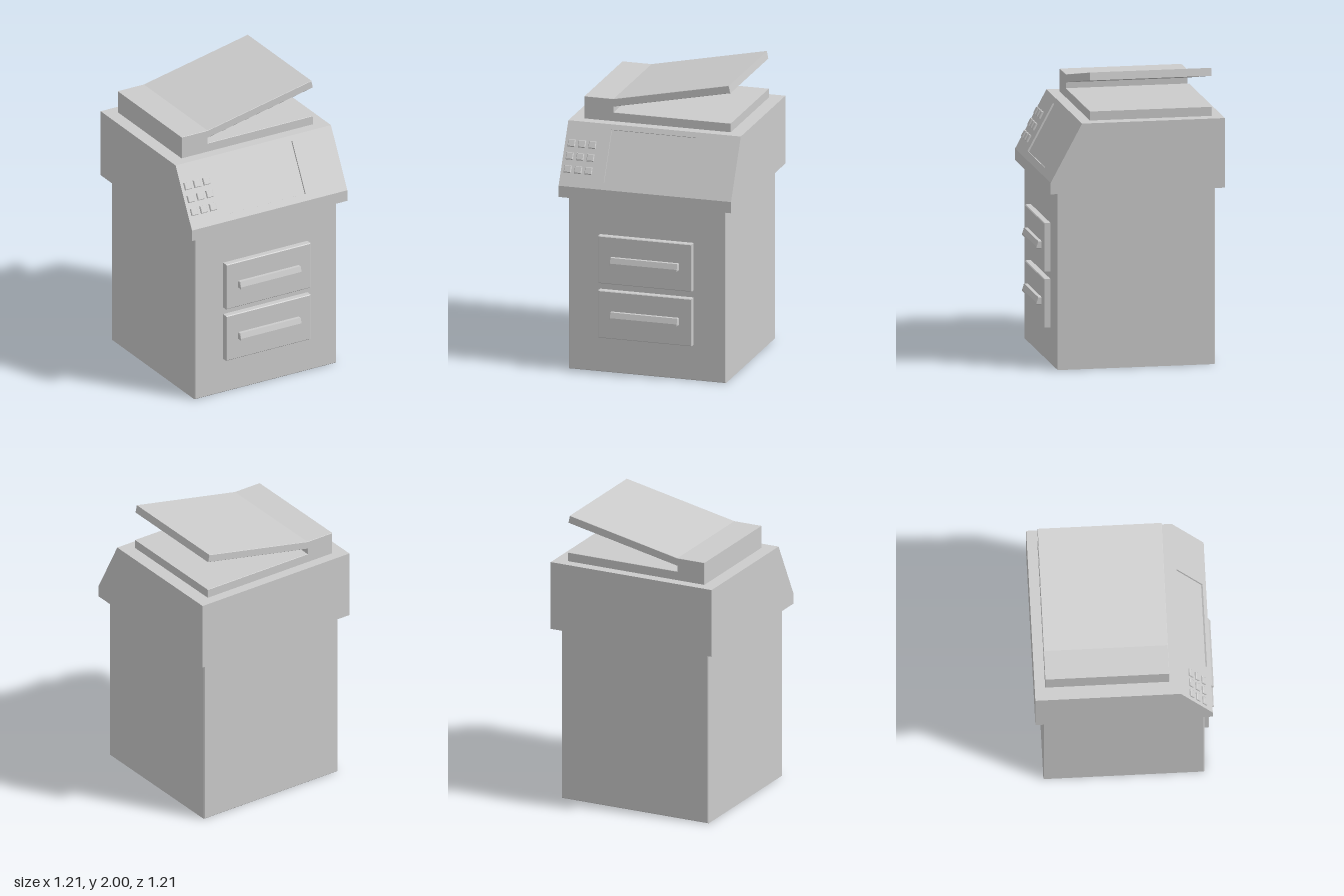
import * as THREE from 'three';

const material = new THREE.MeshStandardMaterial({ color: 0xcccccc, flatShading: true });
const shapeOf = (points) => new THREE.Shape(points.map(([x, y]) => new THREE.Vector2(x, y)));

// Extrude an outline between two depths, with an optional fine chamfer.
function extrude(points, from, to, bevel = 0) {
  return new THREE.ExtrudeGeometry(shapeOf(points), {
    depth: to - from - 2 * bevel,
    bevelEnabled: bevel > 0,
    bevelThickness: bevel,
    bevelSize: bevel,
    bevelOffset: -bevel,
    bevelSegments: 1,
  }).translate(0, 0, from + bevel);
}

// Extrude a (z, y) side profile across x.
const extrudeAcross = (points, x0, x1, bevel = 0) =>
  extrude(points, -x1, -x0, bevel).rotateY(-Math.PI / 2);

// Chamfered block between two corners.
const block = (x0, x1, y0, y1, z0, z1, bevel = 0.005) =>
  extrude([[x0, y0], [x1, y0], [x1, y1], [x0, y1]], z0, z1, bevel);

function add(parent, name, geometry) {
  const mesh = new THREE.Mesh(geometry, material);
  mesh.name = name;
  parent.add(mesh);
  return mesh;
}

export function createModel() {
  const model = new THREE.Group();
  model.name = 'photocopier';

  // Lower cabinet
  add(model, 'cabinet', block(-0.55, 0.55, 0, 1.21, -0.547, 0.527));

  // Two paper drawers, each with a slanted grip
  for (const [y0, y1] of [[0.247, 0.577], [0.627, 0.957]]) {
    const drawer = new THREE.Group();
    drawer.name = 'paperDrawer';
    model.add(drawer);
    add(drawer, 'drawerFront', block(-0.33, 0.325, y0, y1, 0.52, 0.57));
    const y = (y0 + y1) / 2;
    const grip = [[0.565, y - 0.025], [0.605, y - 0.025], [0.605, y - 0.01], [0.593, y + 0.027], [0.565, y + 0.027]];
    add(drawer, 'drawerHandle', extrudeAcross(grip, -0.24, 0.235, 0.004));
  }

  // Control head: sloped front, with the screen recess cut from the middle section
  const head = new THREE.Group();
  head.name = 'controlHead';
  model.add(head);
  const low = [0.58, 1.283], high = [0.367, 1.677];
  const slopeZ = (y) => low[0] + (high[0] - low[0]) * (y - low[1]) / (high[1] - low[1]);
  const tilt = Math.atan2(low[0] - high[0], high[1] - low[1]);
  const onSlope = (y, depth = 0) => [slopeZ(y) - depth * Math.cos(tilt), y - depth * Math.sin(tilt)];
  const headProfile = (recess) =>
    [[-0.603, 1.205], [0.58, 1.205], low, ...recess, high, [-0.603, 1.677]];
  const recess = [onSlope(1.325), onSlope(1.325, 0.012), onSlope(1.645, 0.012), onSlope(1.645)];
  add(head, 'headKeypadSide', extrudeAcross(headProfile([]), -0.603, -0.295));
  add(head, 'headScreenSection', extrudeAcross(headProfile(recess), -0.295, 0.292));
  add(head, 'headPlainSide', extrudeAcross(headProfile([]), 0.292, 0.603));

  // Keypad lying on the slope
  const keypad = new THREE.Group();
  keypad.name = 'keypad';
  head.add(keypad);
  const keyGeometry = block(-0.025, 0.025, -0.025, 0.025, -0.01, 0.013, 0.004);
  for (const y of [1.387, 1.466, 1.543]) {
    for (const x of [-0.555, -0.482, -0.41]) {
      const key = add(keypad, 'key', keyGeometry);
      key.position.set(x, y, slopeZ(y));
      key.rotation.x = -tilt;
    }
  }

  // Scanner bed, feeder block and raised tray as one folded outline
  add(model, 'scannerLid', extrude([
    [-0.513, 1.67], [0.51, 1.67], [0.51, 1.738], [-0.31, 1.738], [-0.31, 1.778],
    [0.507, 1.948], [0.496, 2], [-0.31, 1.832], [-0.513, 1.832],
  ], -0.533, 0.295, 0.002));

  return model;
}
